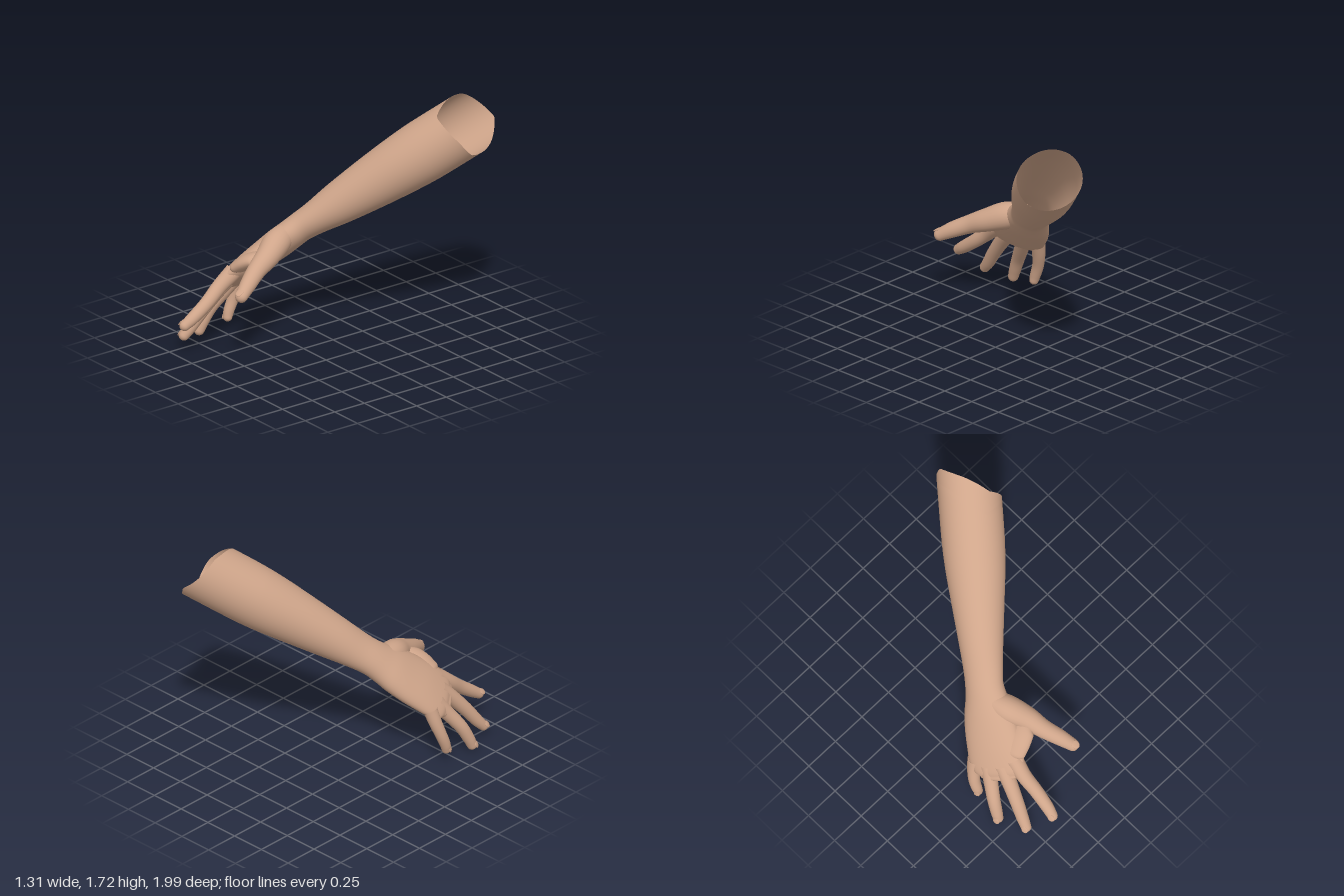
import * as THREE from 'three';

const V = (x, y, z) => new THREE.Vector3(x, y, z);
const BACK_OF_HAND = V(-0.70, 0.70, 0.14).normalize();
const WRIST = V(-0.2, 0.8, 0.11);
const ARM_DIR = V(0.524, 0.562, -0.637).normalize();
const PALM_DIR = V(-0.435, -0.61, 0.66).normalize();

// Ragged open end: [angle in degrees, distance from the wrist]
const RIM = [[-175, 1.48], [-121, 1.376], [-77, 1.28], [-33, 1.28],
  [35, 1.225], [64, 1.305], [104, 1.40], [185, 1.48]];

function rimDistance(angle) {
  let deg = THREE.MathUtils.radToDeg(angle);
  if (deg > 185) deg -= 360;
  for (let i = 1; i < RIM.length; i++) {
    const [a0, d0] = RIM[i - 1], [a1, d1] = RIM[i];
    if (deg <= a1) return d0 + (d1 - d0) * (deg - a0) / (a1 - a0);
  }
  return 1.48;
}

// Smooth skin through elliptical sections [x, y, z, halfWidth, halfThickness], with a round end
function loft(sections, { up = BACK_OF_HAND, sides = 24, steps = 6, warp = null } = {}) {
  const path = new THREE.CatmullRomCurve3(sections.map(s => V(s[0], s[1], s[2])), false, 'catmullrom');
  const size = new THREE.CatmullRomCurve3(sections.map(s => V(s[3], s[4] ?? s[3], 0)), false, 'catmullrom');
  const rows = [];
  const count = (sections.length - 1) * steps;
  for (let i = 0; i <= count; i++) {
    const t = i / count;
    const r = size.getPoint(t);
    rows.push({ c: path.getPoint(t), T: path.getTangent(t), a: r.x, b: r.y });
  }
  const end = rows[count];
  for (let k = 1; k <= 6; k++) {
    const f = k / 6 * Math.PI / 2, scale = Math.max(Math.cos(f), 0.01);
    rows.push({
      c: end.c.clone().addScaledVector(end.T, Math.min(end.a, end.b) * Math.sin(f)),
      T: end.T, a: end.a * scale, b: end.b * scale,
    });
  }
  const position = [], index = [];
  rows.forEach(({ c, T, a, b }, i) => {
    const N = up.clone().addScaledVector(T, -up.dot(T)).normalize();
    const S = N.clone().cross(T);
    for (let j = 0; j < sides; j++) {
      const angle = j / sides * Math.PI * 2;
      const p = c.clone().addScaledVector(S, a * Math.cos(angle)).addScaledVector(N, b * Math.sin(angle));
      if (warp) warp(p, i, angle);
      position.push(p.x, p.y, p.z);
      if (i === 0) continue;
      const q = (i - 1) * sides, n = (j + 1) % sides;
      index.push(q + j, q + n, q + sides + j, q + n, q + sides + n, q + sides + j);
    }
  });
  const geometry = new THREE.BufferGeometry();
  geometry.setAttribute('position', new THREE.Float32BufferAttribute(position, 3));
  geometry.setIndex(index);
  geometry.computeVertexNormals();
  return geometry;
}

// Section at a distance from the wrist along a direction
const along = (dir, distance, a, b) =>
  [...WRIST.clone().addScaledVector(dir, distance).toArray(), a, b];

// Thin nail lying on the back of the last joint
function nail(sections, up, material) {
  const [p, q] = sections.slice(-2);
  const tip = V(q[0], q[1], q[2]);
  const T = tip.clone().sub(V(p[0], p[1], p[2])).normalize();
  const N = up.clone().addScaledVector(T, -up.dot(T)).normalize();
  const mesh = new THREE.Mesh(new THREE.SphereGeometry(1, 16, 10), material);
  mesh.applyMatrix4(new THREE.Matrix4().makeBasis(N.clone().cross(T), N, T));
  mesh.scale.set(q[3] * 0.62, 0.006, q[3] * 0.8);
  mesh.position.copy(tip).addScaledVector(N, q[3] * 0.94);
  mesh.name = 'nail';
  return mesh;
}

export function createModel() {
  const model = new THREE.Group();
  model.name = 'forearmWithHand';
  const skin = new THREE.MeshStandardMaterial({ color: 0xcfa58a, side: THREE.DoubleSide });
  skin.name = 'skin';

  const add = (name, geometry) => {
    const mesh = new THREE.Mesh(geometry, skin);
    mesh.name = name;
    model.add(mesh);
    return mesh;
  };

  // Hollow forearm running through the wrist into the flat palm
  const body = [
    ...[[1.2, 0.215, 0.213], [1.0, 0.213, 0.212], [0.8, 0.203, 0.2], [0.55, 0.178, 0.176],
      [0.3, 0.153, 0.145], [0.12, 0.138, 0.115]].map(([s, a, b]) => along(ARM_DIR, s, a, b)),
    ...[[0, 0.134, 0.102], [0.1, 0.15, 0.1], [0.2, 0.175, 0.1], [0.32, 0.193, 0.092], [0.45, 0.2, 0.082],
      [0.55, 0.2, 0.068], [0.62, 0.18, 0.054], [0.66, 0.14, 0.036]].map(([t, a, b]) => along(PALM_DIR, t, a, b)),
  ];
  add('forearmAndPalm', loft(body, {
    sides: 48,
    warp: (p, row, angle) => {
      const k = Math.max(0, 1 - row / 6);
      p.addScaledVector(ARM_DIR, (rimDistance(angle) - 1.2) * k);
    },
  }));

  // Fingers from knuckle to tip: [x, y, z, radius]
  const fingers = {
    indexFinger: [[-0.365, 0.53, 0.56, 0.06], [-0.38, 0.44, 0.67, 0.052], [-0.375, 0.35, 0.78, 0.047],
      [-0.38, 0.27, 0.89, 0.043], [-0.39, 0.225, 0.955, 0.036]],
    middleFinger: [[-0.435, 0.475, 0.52, 0.06], [-0.465, 0.37, 0.62, 0.052], [-0.495, 0.25, 0.72, 0.047],
      [-0.52, 0.14, 0.80, 0.042], [-0.535, 0.08, 0.85, 0.036]],
    ringFinger: [[-0.49, 0.43, 0.44, 0.058], [-0.53, 0.33, 0.505, 0.05], [-0.58, 0.21, 0.585, 0.045],
      [-0.603, 0.11, 0.635, 0.041], [-0.613, 0.045, 0.662, 0.036]],
    littleFinger: [[-0.525, 0.42, 0.35, 0.05], [-0.555, 0.32, 0.37, 0.045], [-0.58, 0.22, 0.40, 0.04],
      [-0.587, 0.14, 0.43, 0.037], [-0.585, 0.095, 0.443, 0.032]],
  };
  for (const [name, sections] of Object.entries(fingers)) {
    add(name, loft(sections)).add(nail(sections, BACK_OF_HAND, skin));
  }

  // Thumb with the fleshy mound at its base
  const thumb = [[-0.25, 0.78, 0.17, 0.06], [-0.2, 0.735, 0.32, 0.092], [-0.14, 0.68, 0.45, 0.08],
    [-0.10, 0.625, 0.57, 0.064], [-0.05, 0.567, 0.68, 0.055], [-0.012, 0.515, 0.765, 0.043]];
  add('thumb', loft(thumb)).add(nail(thumb, V(0.2, 0.6, 0.6), skin));

  // Skin web between thumb and index finger
  add('thumbWeb', loft([[-0.12, 0.66, 0.49, 0.05, 0.04], [-0.19, 0.655, 0.48, 0.085, 0.05],
    [-0.27, 0.62, 0.5, 0.1, 0.055], [-0.34, 0.57, 0.52, 0.1, 0.05]]));

  return model;
}
